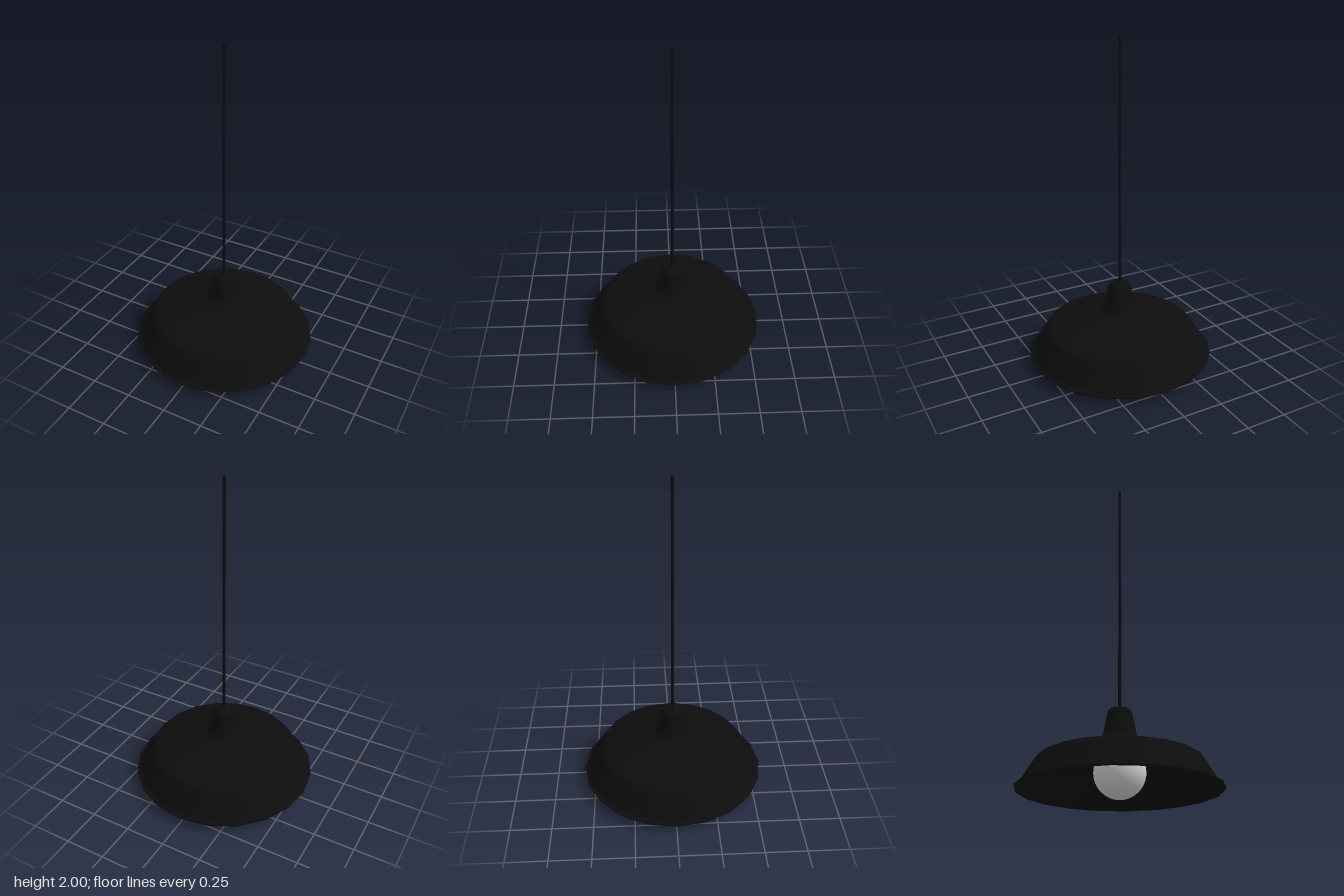
import * as THREE from 'three';

const SIDES = 20;
const black = new THREE.MeshStandardMaterial({ color: 0x0d0d0d });
const grey = new THREE.MeshStandardMaterial({ color: 0xcccccc });

// Turned part; points run from bottom to top along the outer surface
function turned(name, points, material, sides = SIDES) {
  const profile = points.map(([r, y]) => new THREE.Vector2(r, y));
  const mesh = new THREE.Mesh(new THREE.LatheGeometry(profile, sides), material);
  mesh.name = name;
  return mesh;
}

export function createModel() {
  const lamp = new THREE.Group();
  lamp.name = 'pendantLamp';

  // Shade: inner wall from the ceiling down to the rim, then the outer wall up to the cap
  const inner = [
    [0, 0.33], [0.1, 0.318], [0.16, 0.3], [0.385, 0.23], [0.425, 0.216],
    [0.446, 0.205], [0.46, 0.185], [0.54, 0.057], [0.552, 0.046],
  ];
  const outer = [
    [0.567, 0.046], [0.571, 0.053], [0.566, 0.058], [0.551, 0.062], [0.542, 0.072],
    [0.472, 0.19], [0.457, 0.213], [0.435, 0.226], [0.385, 0.241],
    [0.16, 0.311], [0.12, 0.326], [0.102, 0.341], [0.093, 0.365],
    [0.083, 0.42], [0.071, 0.48], [0.066, 0.497], [0.056, 0.505], [0, 0.505],
  ];
  lamp.add(turned('shade', [...inner, ...outer], black));

  // Socket inside the shade, above the bulb
  lamp.add(turned('socket', [[0, 0.27], [0.055, 0.27], [0.055, 0.335]], black));

  // Round bulb
  const bulb = new THREE.Mesh(new THREE.SphereGeometry(0.145, 32, 20), grey);
  bulb.name = 'bulb';
  bulb.position.y = 0.145;
  lamp.add(bulb);

  // Hanging cord
  const cord = new THREE.Mesh(new THREE.CylinderGeometry(0.009, 0.009, 1.5, 12), black);
  cord.name = 'cord';
  cord.position.y = 1.25;
  lamp.add(cord);

  return lamp;
}
